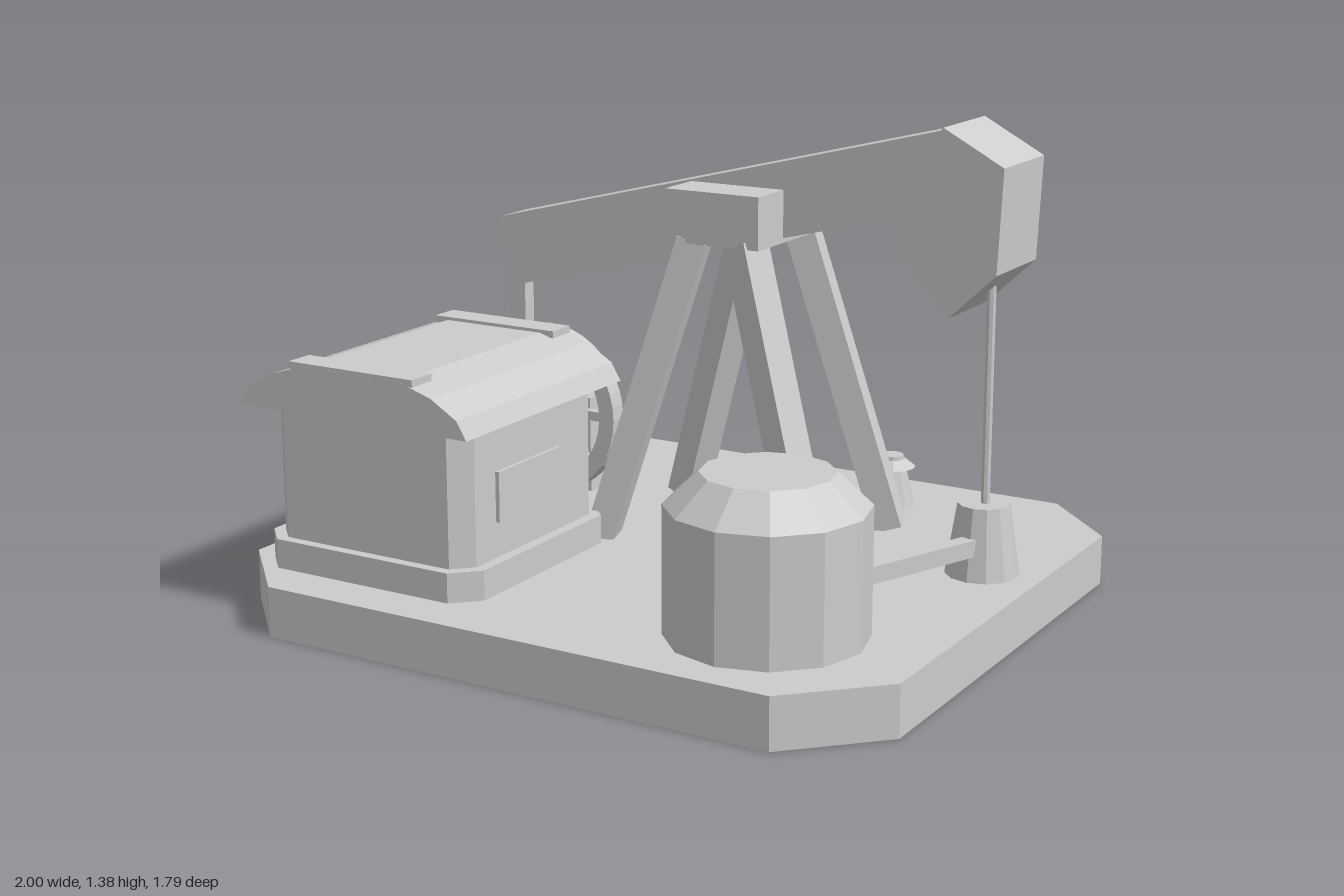
import * as THREE from 'three';

export function createModel() {
  const model = new THREE.Group();
  model.name = 'oilPumpjack';
  const grey = new THREE.MeshStandardMaterial({ color: 0xcccccc, side: THREE.DoubleSide });
  grey.name = 'plain grey';
  grey.flatShading = true;

  const add = (name, geometry, x = 0, y = 0, z = 0, parent = model) => {
    const mesh = new THREE.Mesh(geometry, grey);
    mesh.name = name;
    mesh.position.set(x, y, z);
    parent.add(mesh);
    return mesh;
  };
  const box = (name, w, h, d, x, y, z, parent) =>
    add(name, new THREE.BoxGeometry(w, h, d), x, y, z, parent);
  const cyl = (name, rTop, rBottom, h, sides, x, y, z, parent) =>
    add(name, new THREE.CylinderGeometry(rTop, rBottom, h, sides), x, y, z, parent);
  const extrude = (points, depth) => new THREE.ExtrudeGeometry(
    new THREE.Shape(points.map(p => new THREE.Vector2(...p))), { depth, bevelEnabled: false });
  // Upright block with cut corners, standing on its own y = 0
  const cutBlock = (w, h, d, c) => {
    const a = w / 2, b = d / 2;
    return extrude([[-a, -b + c], [-a + c, -b], [a - c, -b], [a, -b + c],
      [a, b - c], [a - c, b], [-a + c, b], [-a, b - c]], h).rotateX(-Math.PI / 2);
  };
  // The same block without its bottom face, which comes first in an extrusion
  const openBlock = (...size) => {
    const solid = cutBlock(...size), g = new THREE.BufferGeometry();
    const skip = solid.groups[0].count / 2 * 3;
    g.setAttribute('position',
      new THREE.BufferAttribute(solid.attributes.position.array.slice(skip), 3));
    g.computeVertexNormals();
    return g;
  };
  // Box whose top is narrower than its bottom
  const taperedBox = (w, h, d, kx, kz) => {
    const g = new THREE.BoxGeometry(w, h, d), p = g.attributes.position;
    for (let i = 0; i < p.count; i++)
      if (p.getY(i) > 0) p.setXYZ(i, p.getX(i) * kx, p.getY(i), p.getZ(i) * kz);
    g.computeVertexNormals();
    return g;
  };
  // Square bar between two points, its width kept level
  const bar = (name, from, to, width, thick) => {
    const a = new THREE.Vector3(...from), b = new THREE.Vector3(...to);
    const axis = a.clone().sub(b), length = axis.length();
    axis.normalize();
    const side = new THREE.Vector3(0, 1, 0).cross(axis).normalize();
    const out = side.clone().cross(axis);
    const m = box(name, width, length, thick, 0, 0, 0);
    m.quaternion.setFromRotationMatrix(new THREE.Matrix4().makeBasis(side, axis, out));
    m.position.copy(a).add(b).multiplyScalar(0.5);
  };

  // Hollow base, open underneath
  const ground = 0.142, mid = -0.196;
  add('basePlate', openBlock(2, ground, 1.795, 0.232));

  // Engine house
  const house = new THREE.Group();
  house.name = 'engineHouse';
  house.position.set(-0.562, 0, 0.404);
  model.add(house);
  add('houseFooting', cutBlock(0.715, 0.083, 0.71, 0.07), 0, ground, 0, house);
  add('houseWalls', cutBlock(0.65, 0.42, 0.65, 0.052), 0, 0.2, 0, house);
  const roof = [[-0.375, 0.602], [0.375, 0.602], [0.345, 0.652], [0.265, 0.7], [0.16, 0.733],
    [-0.16, 0.733], [-0.265, 0.7], [-0.345, 0.652]];
  add('houseRoof', extrude(roof, 0.742), 0, 0, -0.367, house);
  for (const z of [-0.324, 0.332]) box('roofPlate', 0.41, 0.02, 0.085, 0, 0.732, z, house);
  box('sideVent', 0.024, 0.14, 0.3, 0.325, 0.395, 0.03, house);
  box('backDoor', 0.11, 0.3, 0.05, 0, 0.35, -0.345, house);
  add('meterBox', taperedBox(0.13, 0.11, 0.07, 0.75, 0.8), -0.155, 0.197, -0.36, house);
  cyl('drainPipe', 0.025, 0.025, 0.4, 10, 0.216, 0.342, -0.366, house);

  // Four splayed legs and the saddle they carry
  for (const sx of [-1, 1]) for (const sz of [-1, 1])
    bar('supportLeg', [0.095 + sx * 0.08, 1.02, mid + sz * 0.163],
      [0.095 + sx * 0.34, 0.145, mid + sz * 0.242], 0.094, 0.085);
  box('saddle', 0.293, 0.148, 0.425, 0.095, 1.087, mid);

  // Walking beam, head and polished rod
  box('walkingBeam', 1.475, 0.207, 0.14, 0.03, 1.08, mid).rotation.z = 0.247;
  add('pumpHead', extrude([[0.743, 1.376], [0.626, 1.23], [0.642, 1.016], [0.77, 0.872],
    [0.904, 1.0], [0.917, 1.283]], 0.265), 0, 0, mid - 0.1325);
  cyl('pumpRod', 0.013, 0.013, 0.75, 8, 0.836, 0.65, mid);

  // Crank wheel between its two stands
  const wheel = new THREE.Group();
  wheel.name = 'crankWheel';
  wheel.position.set(-0.6, 0.415, mid);
  model.add(wheel);
  const rim = new THREE.Shape().absarc(0, 0, 0.257, 0, Math.PI * 2);
  rim.holes.push(new THREE.Path().absarc(0, 0, 0.207, 0, Math.PI * 2, true));
  add('wheelRim', new THREE.ExtrudeGeometry(rim, { depth: 0.055, bevelEnabled: false, curveSegments: 20 }),
    0, 0, -0.0275, wheel);
  for (let i = 0; i < 4; i++)
    box('wheelSpoke', 0.44, 0.028, 0.028, 0, 0, 0, wheel).rotation.z = i * Math.PI / 4;
  cyl('wheelHub', 0.045, 0.045, 0.1, 10, 0, 0, 0, wheel).rotation.x = Math.PI / 2;
  for (const s of [-1, 1])
    add('wheelStand', taperedBox(0.195, 0.29, 0.108, 0.9, 0.82), -0.6, ground + 0.145, mid + s * 0.15);
  box('connectingRod', 0.06, 0.35, 0.045, -0.685, 0.725, mid);

  // Storage tank and its lid
  cyl('tankBody', 0.267, 0.267, 0.345, 12, 0.56, ground + 0.172, 0.532);
  cyl('tankLid', 0.175, 0.267, 0.087, 12, 0.56, 0.53, 0.532);

  // Wellhead and the pipe to the tank
  cyl('wellhead', 0.072, 0.103, 0.2, 12, 0.832, ground + 0.1, mid);
  bar('oilPipe', [0.843, 0.236, -0.16], [0.59, 0.236, 0.48], 0.042, 0.048);

  // Small capped vent
  cyl('ventBody', 0.04, 0.07, 0.125, 12, 0.342, 0.204, -0.64);
  cyl('ventCap', 0.04, 0.07, 0.024, 12, 0.342, 0.274, -0.64);
  cyl('ventKnob', 0.034, 0.036, 0.02, 12, 0.342, 0.288, -0.64);

  return model;
}
